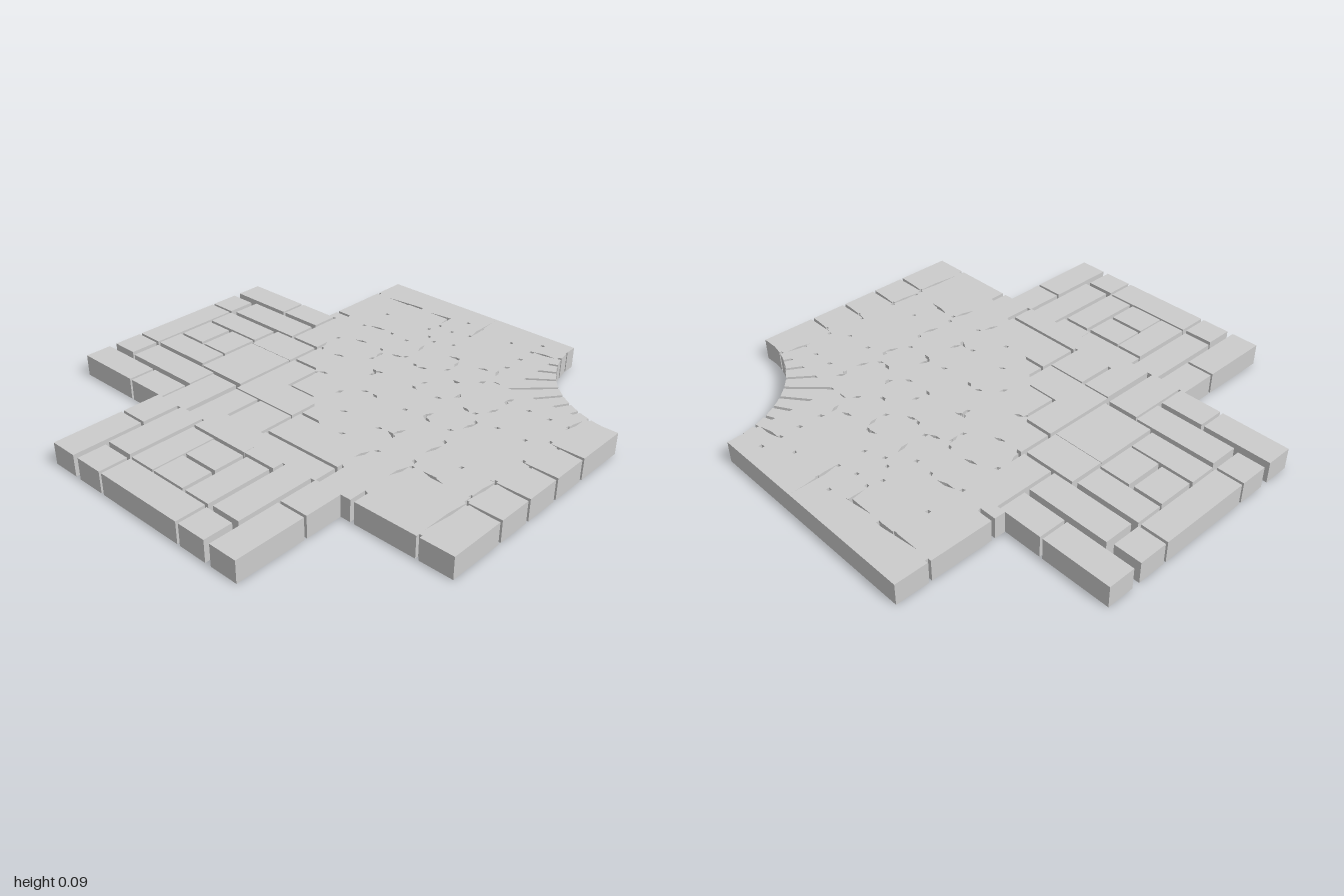
import * as THREE from 'three';

const H = 0.095;      // paving thickness
const GAP = 0.014;    // joint width

// Hollow stone, open underneath, from an outline of [x, -z] points (counter-clockwise)
function stone(points, name, material) {
  const pts = points.map(([x, y]) => new THREE.Vector2(x, y));
  const pos = [];
  const put = (p, h) => pos.push(p.x, h, -p.y);
  for (const face of THREE.ShapeUtils.triangulateShape(pts, [])) face.forEach(i => put(pts[i], H));
  pts.forEach((a, i) => {
    const b = pts[(i + 1) % pts.length];
    put(a, 0); put(b, 0); put(b, H);
    put(a, 0); put(b, H); put(a, H);
  });
  const geo = new THREE.BufferGeometry();
  geo.setAttribute('position', new THREE.Float32BufferAttribute(pos, 3));
  geo.computeVertexNormals();
  const mesh = new THREE.Mesh(geo, material);
  mesh.name = name;
  return mesh;
}

const rect = (x0, x1, z0, z1) => [[x0, -z1], [x1, -z1], [x1, -z0], [x0, -z0]];

// Curved stone in a ring around the corner (1, 1)
function sector(r0, r1, t0, t1, g0, g1) {
  const pts = [], N = 3;
  for (const [r, flip] of [[r0, false], [r1, true]]) {
    const a = t0 + g0 / r, b = t1 - g1 / r;
    for (let i = 0; i <= N; i++) {
      const t = a + (b - a) * (flip ? N - i : i) / N;
      pts.push([1 - r * Math.cos(t), r * Math.sin(t) - 1]);
    }
  }
  return pts;
}

export function createModel() {
  const model = new THREE.Group();
  model.name = 'pavingCorner';
  const grey = new THREE.MeshStandardMaterial({ color: 0xcccccc, side: THREE.DoubleSide });
  grey.name = 'stoneGrey';

  const group = name => {
    const g = new THREE.Group();
    g.name = name;
    model.add(g);
    return g;
  };
  const lay = (g, name, ...r) => g.add(stone(rect(...r), name, grey));

  // Back arm: mirrored pairs, then the middle stones
  const back = group('backArm');
  for (const [a, b, z0, z1] of [
    [0.385, 0.505, -1, -0.695], [0.385, 0.505, -0.682, -0.485],
    [0.222, 0.35, -1, -0.88], [0.232, 0.36, -0.855, -0.485],
    [0.093, 0.21, -0.868, -0.58], [0.065, 0.22, -0.564, -0.33],
  ]) {
    lay(back, 'armStone', a, b, z0, z1);
    lay(back, 'armStone', -b, -a, z0, z1);
  }
  lay(back, 'edgeStone', -0.21, 0.21, -1, -0.88);
  lay(back, 'middleStone', -0.08, 0.078, -0.864, -0.735);
  lay(back, 'middleStone', -0.084, 0.082, -0.716, -0.58);
  lay(back, 'middleStone', -0.067, 0.063, -0.564, -0.33);

  // Left-hand arm, the same layout turned a quarter
  const side = group('sideArm');
  for (const [x0, x1, a, b] of [
    [-1, -0.69, 0.38, 0.505], [-0.678, -0.505, 0.38, 0.505],
    [-1, -0.875, 0.222, 0.352], [-0.855, -0.505, 0.232, 0.36],
    [-0.86, -0.572, 0.092, 0.212], [-0.558, -0.42, 0.065, 0.218],
  ]) {
    lay(side, 'armStone', x0, x1, a, b);
    lay(side, 'armStone', x0, x1, -b, -a);
  }
  lay(side, 'edgeStone', -1, -0.87, -0.208, 0.208);
  lay(side, 'middleStone', -0.86, -0.725, -0.085, 0.075);
  lay(side, 'middleStone', -0.71, -0.575, -0.085, 0.075);
  lay(side, 'middleStone', -0.558, -0.42, -0.067, 0.063);

  // Square paving: rows of stones, each row given as z range and joint positions along x
  const square = group('squarePaving');
  const row = (z0, z1, ...xs) => {
    for (let i = 0; i + 1 < xs.length; i++) {
      const a = xs[i] + (i ? GAP / 2 : 0);
      const b = xs[i + 1] - (i + 2 < xs.length ? GAP / 2 : 0);
      lay(square, 'pavingStone', a, b, z0, z1);
    }
  };
  row(-0.475, -0.335, -0.51, -0.24);
  row(-0.47, -0.33, 0.234, 0.54);
  row(-0.51, -0.48, 0.505, 0.554);
  row(-0.485, -0.33, 0.505, 0.554);
  row(-0.51, -0.33, 0.57, 0.852, 1);
  row(-0.31, -0.185, -0.51, -0.258);
  row(-0.168, 0.005, -0.51, -0.258);
  row(-0.315, 0.005, -0.251, -0.092);
  row(-0.315, -0.18, -0.1, 0.085, 0.235);
  row(-0.166, 0.005, -0.085, 0.085, 0.235);
  row(-0.315, -0.09, 0.25, 0.41, 0.56, 0.85);
  row(-0.076, 0.005, 0.25, 0.41, 0.65, 0.77, 0.86);
  row(-0.315, -0.21, 0.864, 1);
  row(-0.196, 0.005, 0.864, 1);
  row(0.02, 0.38, -0.51, -0.4, -0.215, -0.09, 0.085, 0.24);
  row(0.02, 0.21, 0.254, 0.4, 0.56);
  row(0.224, 0.38, 0.254, 0.4, 0.56);
  row(0.02, 0.09, 0.574, 0.73, 1);
  row(0.104, 0.38, 0.574, 0.85, 1);
  row(0.398, 0.55, -0.51, -0.215, 0.085, 0.25, 0.505);
  row(0.398, 0.5, 0.51, 0.85, 1);
  row(0.568, 0.842, -0.51, -0.21, -0.09, 0.22, 0.41, 0.505);
  row(0.856, 1, -0.51, -0.255, -0.09, 0.083, 0.257, 0.505);

  // Curved paving: five rings around the cut-out corner
  const curved = group('curvedPaving');
  const radii = [0.5, 0.743, 0.917, 1.09, 1.255, 1.51];
  [12, 11, 13, 12, 14].forEach((n, k) => {
    const step = Math.PI / 2 / n;
    const r0 = radii[k] + (k ? GAP / 2 : 0), r1 = radii[k + 1] - GAP / 2;
    for (let i = 0; i < n; i++) {
      const g0 = i ? GAP / 2 : 0, g1 = i < n - 1 ? GAP / 2 : 0;
      curved.add(stone(sector(r0, r1, i * step, (i + 1) * step, g0, g1), 'ringStone', grey));
    }
  });
  return model;
}
